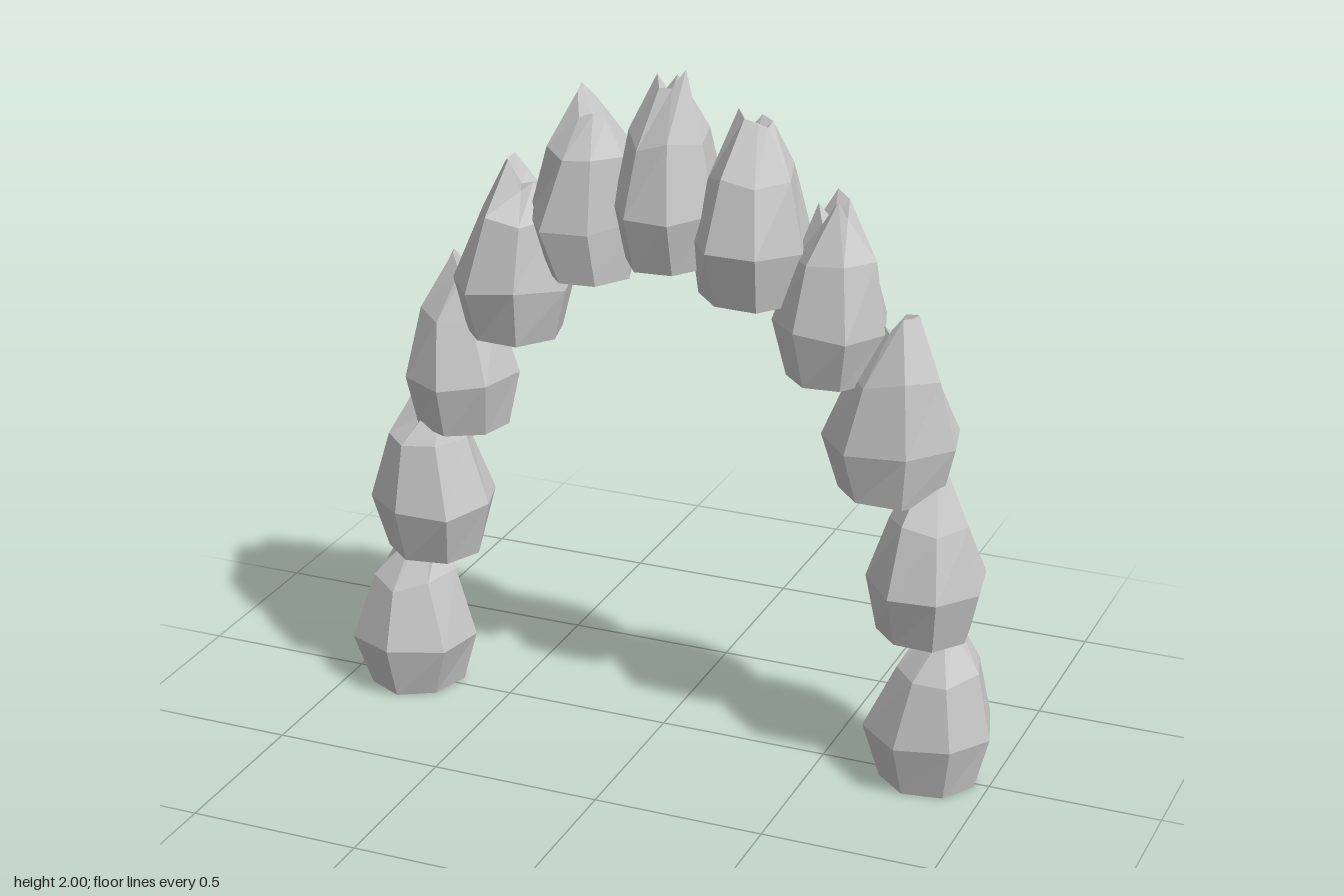
import * as THREE from 'three';

const SIDES = 7;

// Each stone: base height, peak height, tip centre x, turn (in sides),
// x extents of the base, belly and shoulder rings, belly z extents (back, front)
const STONES = [
  { y: 0.00, peak: 0.52, tip: -0.79, turn: 0.0, base: [-0.94, -0.67], belly: [-1.00, -0.63], shoulder: [-0.92, -0.69], z: [-0.19, 0.19] },
  { y: 0.45, peak: 0.97, tip: -0.73, turn: 0.3, base: [-0.86, -0.59], belly: [-0.90, -0.55], shoulder: [-0.85, -0.62], z: [-0.19, 0.18] },
  { y: 0.855, peak: 1.39, tip: -0.62, turn: 0.0, base: [-0.78, -0.51], belly: [-0.80, -0.48], shoulder: [-0.76, -0.54], z: [-0.19, 0.15] },
  { y: 1.175, peak: 1.69, tip: -0.44, turn: 0.5, base: [-0.60, -0.32], belly: [-0.63, -0.28], shoulder: [-0.54, -0.32], z: [-0.19, 0.18] },
  { y: 1.38, peak: 1.92, tip: -0.22, turn: 0.4, base: [-0.34, -0.10], belly: [-0.39, -0.09], shoulder: [-0.33, -0.11], z: [-0.19, 0.16] },
  { y: 1.45, peak: 2.00, tip: 0.02, turn: 0.5, base: [-0.10, 0.14], belly: [-0.13, 0.17], shoulder: [-0.09, 0.13], z: [-0.19, 0.18] },
  { y: 1.38, peak: 1.91, tip: 0.26, turn: 0.5, base: [0.12, 0.40], belly: [0.10, 0.43], shoulder: [0.15, 0.39], z: [-0.17, 0.18] },
  { y: 1.175, peak: 1.70, tip: 0.49, turn: 0.4, base: [0.38, 0.62], belly: [0.34, 0.66], shoulder: [0.40, 0.63], z: [-0.17, 0.15] },
  { y: 0.855, peak: 1.38, tip: 0.69, turn: 0.5, base: [0.53, 0.83], belly: [0.48, 0.87], shoulder: [0.56, 0.82], z: [-0.19, 0.14] },
  { y: 0.45, peak: 0.96, tip: 0.80, turn: 0.5, base: [0.66, 0.92], belly: [0.63, 0.96], shoulder: [0.69, 0.92], z: [-0.17, 0.16] },
  { y: 0.00, peak: 0.51, tip: 0.83, turn: 0.35, base: [0.69, 0.96], belly: [0.64, 1.00], shoulder: [0.73, 0.96], z: [-0.18, 0.18] },
];

function seeded(seed) {
  let s = seed;
  return () => (s = (s * 16807) % 2147483647) / 2147483647;
}

// Irregular ring of corners stretched to exact x and z extents
function ring([x0, x1], [z0, z1], y, turn, rough, drop, random) {
  const raw = [];
  for (let i = 0; i < SIDES; i++) {
    const a = Math.PI / 2 + ((i + turn) / SIDES) * Math.PI * 2;
    const r = 1 - rough * random();
    raw.push(new THREE.Vector3(Math.cos(a) * r, y - drop * random(), Math.sin(a) * r));
  }
  const box = new THREE.Box3().setFromPoints(raw);
  for (const p of raw) {
    p.x = THREE.MathUtils.mapLinear(p.x, box.min.x, box.max.x, x0, x1);
    p.z = THREE.MathUtils.mapLinear(p.z, box.min.z, box.max.z, z0, z1);
  }
  return raw;
}

// Faceted stone: flat base, wide belly, tapering shoulder and a jagged, pitted tip
function stoneGeometry(s, seed) {
  const random = seeded(seed);
  const scaleZ = (k) => s.z.map((v) => v * k);
  const tip = ring([s.tip - 0.04, s.tip + 0.045], [-0.055, 0.03], s.peak, s.turn, 0.3, 0.09, random);
  tip[Math.floor(random() * SIDES)].y = s.peak;
  const rings = [
    ring(s.base, scaleZ(0.75), s.y, s.turn, 0.1, 0, random),
    ring(s.belly, s.z, s.y + 0.17, s.turn, 0.12, 0.02, random),
    ring(s.shoulder, scaleZ(0.72), s.y + 0.375, s.turn, 0.22, 0.04, random),
    tip,
  ];
  const points = [];
  const face = (...corners) => corners.forEach((p) => points.push(p.x, p.y, p.z));
  const middle = (r, y) => {
    const m = new THREE.Vector3();
    r.forEach((p) => m.addScaledVector(p, 1 / SIDES));
    return m.setY(y);
  };
  const bottom = middle(rings[0], s.y);
  const pit = middle(tip, s.peak - 0.08);
  for (let i = 0; i < SIDES; i++) {
    const j = (i + 1) % SIDES;
    face(bottom, rings[0][i], rings[0][j]);
    for (let k = 0; k < 3; k++) {
      const low = rings[k], up = rings[k + 1];
      face(low[i], up[i], low[j]);
      face(low[j], up[i], up[j]);
    }
    face(pit, tip[j], tip[i]);
  }
  const geometry = new THREE.BufferGeometry();
  geometry.setAttribute('position', new THREE.Float32BufferAttribute(points, 3));
  geometry.computeVertexNormals();
  return geometry;
}

export function createModel() {
  const model = new THREE.Group();
  model.name = 'stoneArch';
  const stone = new THREE.MeshStandardMaterial({ color: 0xc8c8c8 });
  stone.name = 'pale grey stone';
  stone.flatShading = true;

  STONES.forEach((s, i) => {
    const mesh = new THREE.Mesh(stoneGeometry(s, 1234 + i * 7919), stone);
    mesh.name = `archStone${i + 1}`;
    model.add(mesh);
  });
  return model;
}
